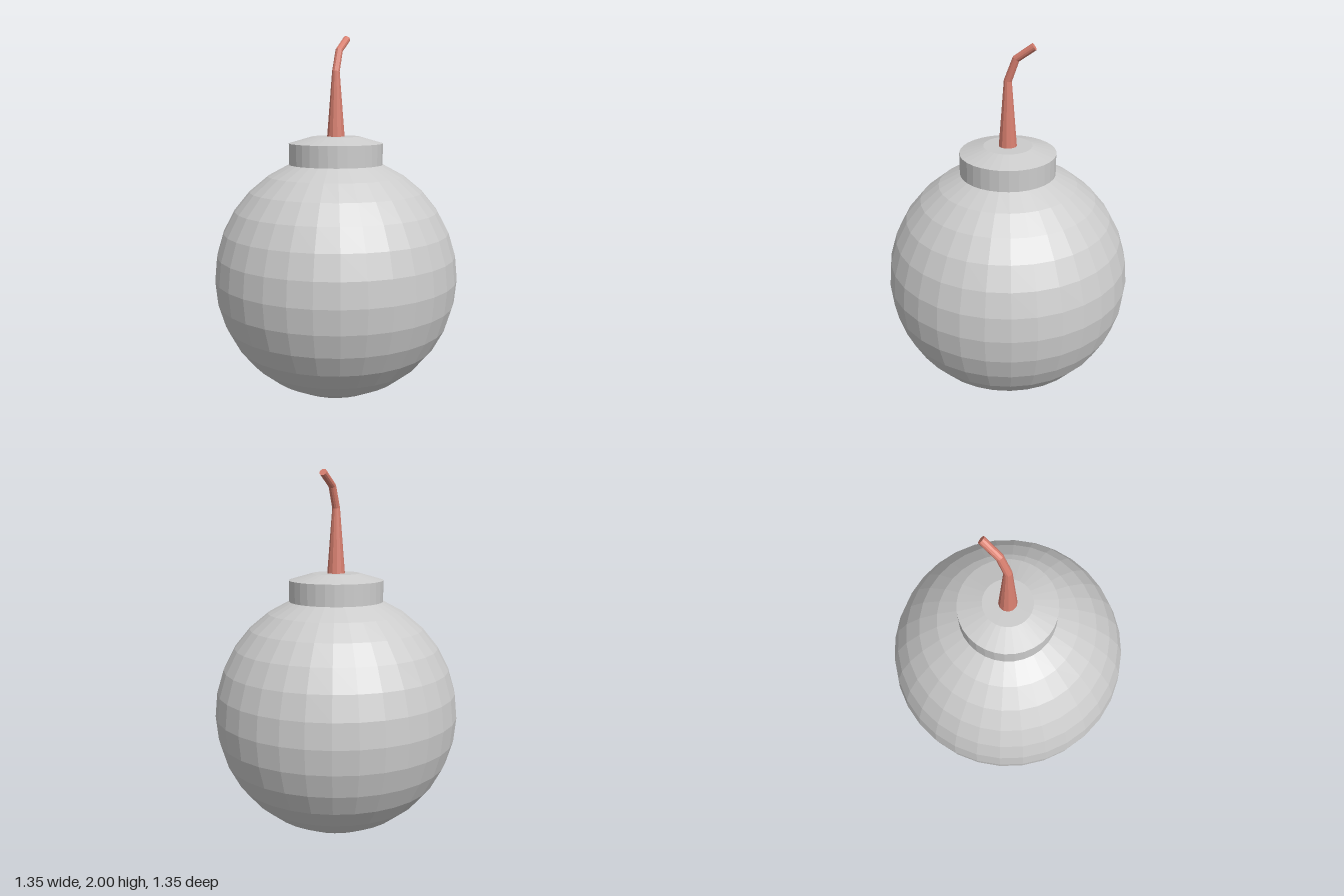
import * as THREE from 'three';

const SIDES = 32;

// Round tube through stations { p: centre, r: radius, tilt: lean towards -z }, capped at the end
function bentTube(stations, sides) {
  const pos = [], idx = [];
  for (const { p, r, tilt } of stations) {
    for (let j = 0; j < sides; j++) {
      const a = (j / sides) * Math.PI * 2;
      const u = r * Math.cos(a), v = -r * Math.sin(a);
      pos.push(p[0] + u, p[1] + v * Math.sin(tilt), p[2] + v * Math.cos(tilt));
    }
  }
  const last = stations.length - 1;
  pos.push(...stations[last].p);
  const tip = stations.length * sides;
  for (let j = 0; j < sides; j++) {
    const k = (j + 1) % sides;
    for (let i = 0; i < last; i++) {
      const a = i * sides, b = a + sides;
      idx.push(a + j, a + k, b + j, a + k, b + k, b + j);
    }
    idx.push(last * sides + j, last * sides + k, tip);
  }
  const g = new THREE.BufferGeometry();
  g.setAttribute('position', new THREE.Float32BufferAttribute(pos, 3));
  g.setIndex(idx);
  g.computeVertexNormals();
  return g;
}

export function createModel() {
  const group = new THREE.Group();
  const grey = new THREE.MeshStandardMaterial({ color: 0xcccccc, flatShading: true });
  const red = new THREE.MeshStandardMaterial({ color: 0xd98070, flatShading: true });
  const add = (name, geometry, material) => {
    const mesh = new THREE.Mesh(geometry, material);
    mesh.name = name;
    group.add(mesh);
  };

  // Faceted ball, open at the top where the collar sits
  const R = 0.675, H = 0.678, open = Math.PI / 8;
  const ball = new THREE.SphereGeometry(R, SIDES, 14, 0, Math.PI * 2, open, Math.PI - open);
  ball.scale(1, H / R, 1).translate(0, H, 0);
  add('body', ball, grey);

  // Collar with a shallow sloped lid
  const rim = R * Math.sin(open), rimY = H + H * Math.cos(open);
  const profile = [[rim, rimY], [rim, 1.42], [0.13, 1.457], [0, 1.457]];
  add('collar', new THREE.LatheGeometry(profile.map(([x, y]) => new THREE.Vector2(x, y)), SIDES), grey);

  // Tapered fuse that bends backwards
  add('fuse', bentTube([
    { p: [0, 1.45, 0], r: 0.049, tilt: 0 },
    { p: [0, 1.805, 0], r: 0.021, tilt: 0.17 },
    { p: [0.003, 1.918, -0.042], r: 0.02, tilt: 0.66 },
    { p: [0.013, 1.984, -0.134], r: 0.02, tilt: 0.98 },
  ], 12), red);

  return group;
}
